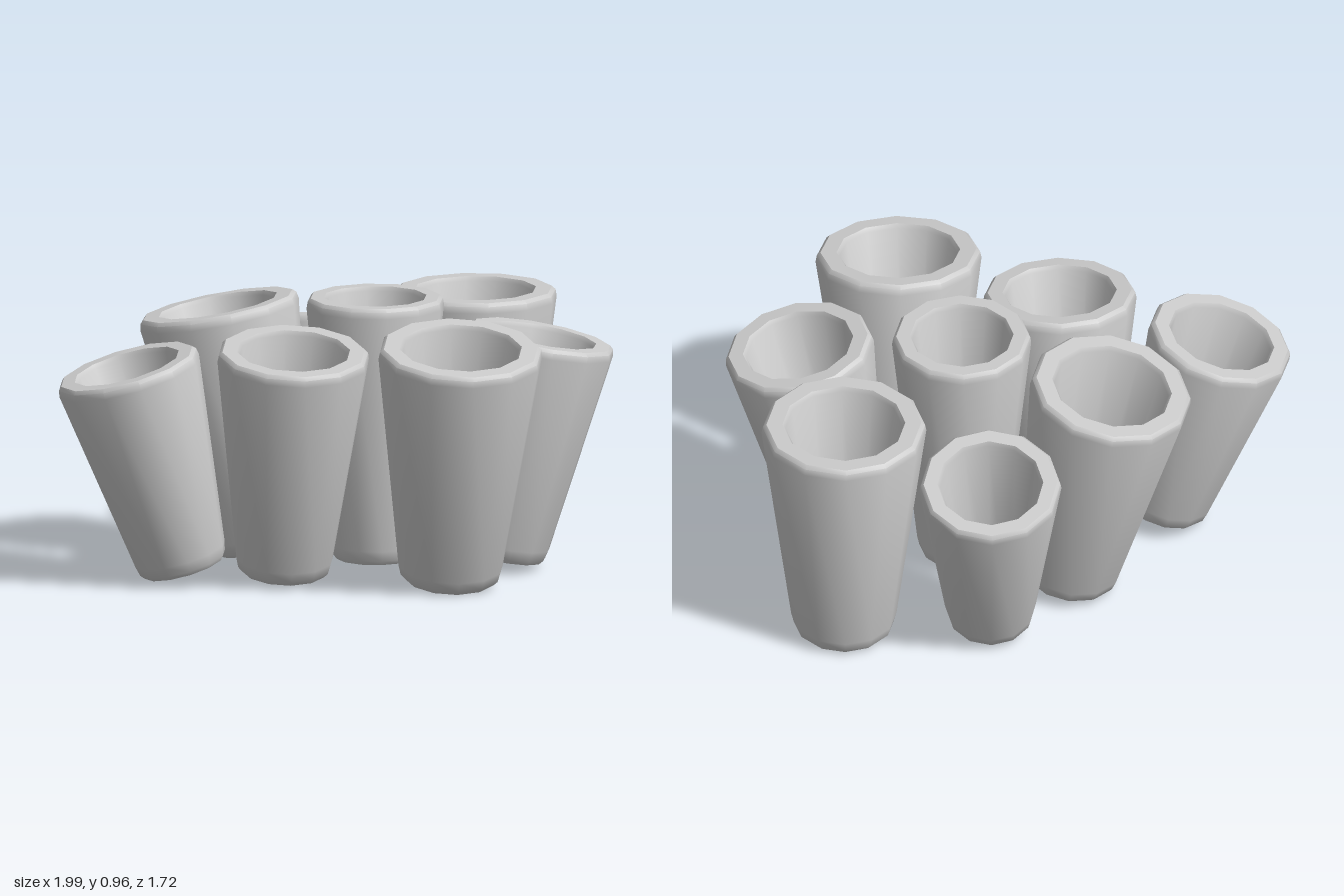
import * as THREE from 'three';
import { toCreasedNormals } from 'three/addons/utils/BufferGeometryUtils.js';

const SIDES = 12;

// Thick-walled tapered cup, closed at the bottom, standing on its local origin
function cupGeometry(r, h) {
  const base = r * 0.62, hole = r * 0.71, floor = r * 0.39;
  const profile = [
    [0, 0],
    [base * 0.9, 0],
    [base * 0.98, 0.015],
    [base * 1.03, 0.05],
    [r, h - 0.035],
    [r * 0.985, h - 0.012],
    [r * 0.94, h],
    [hole * 1.05, h],
    [hole, h - 0.015],
    [floor, h * 0.09],
    [0, h * 0.09],
  ].map(([x, y]) => new THREE.Vector2(x, y));
  return toCreasedNormals(new THREE.LatheGeometry(profile, SIDES), 0.7);
}

export function createModel() {
  const group = new THREE.Group();
  group.name = 'cupCluster';
  const material = new THREE.MeshStandardMaterial({ color: 0xcccccc });

  // name, rim radius, centre of the base, centre of the rim
  const cups = [
    ['centreCup', 0.245, [0.165, 0.03, -0.015], [0.165, 0.967, -0.015]],
    ['backCup', 0.25, [0.075, 0.055, -0.437], [0.08, 0.78, -0.63]],
    ['backLeftCup', 0.29, [0.59, 0.012, -0.428], [0.59, 0.9, -0.428]],
    ['leftCup', 0.265, [0.59, 0.05, 0.105], [0.737, 0.835, 0.115]],
    ['frontLeftCup', 0.292, [0.362, 0.037, 0.41], [0.372, 0.893, 0.577]],
    ['frontRightCup', 0.27, [-0.2, 0.045, 0.228], [-0.19, 0.86, 0.372]],
    ['rightCup', 0.258, [-0.55, 0.06, 0.18], [-0.755, 0.787, 0.19]],
    ['backRightCup', 0.287, [-0.205, 0.045, -0.185], [-0.358, 0.908, -0.247]],
  ];

  const up = new THREE.Vector3(0, 1, 0);
  for (const [name, radius, from, to] of cups) {
    const base = new THREE.Vector3(...from);
    const axis = new THREE.Vector3(...to).sub(base);
    const cup = new THREE.Mesh(cupGeometry(radius, axis.length()), material);
    cup.name = name;
    cup.position.copy(base);
    cup.quaternion.setFromUnitVectors(up, axis.normalize());
    group.add(cup);
  }
  return group;
}
